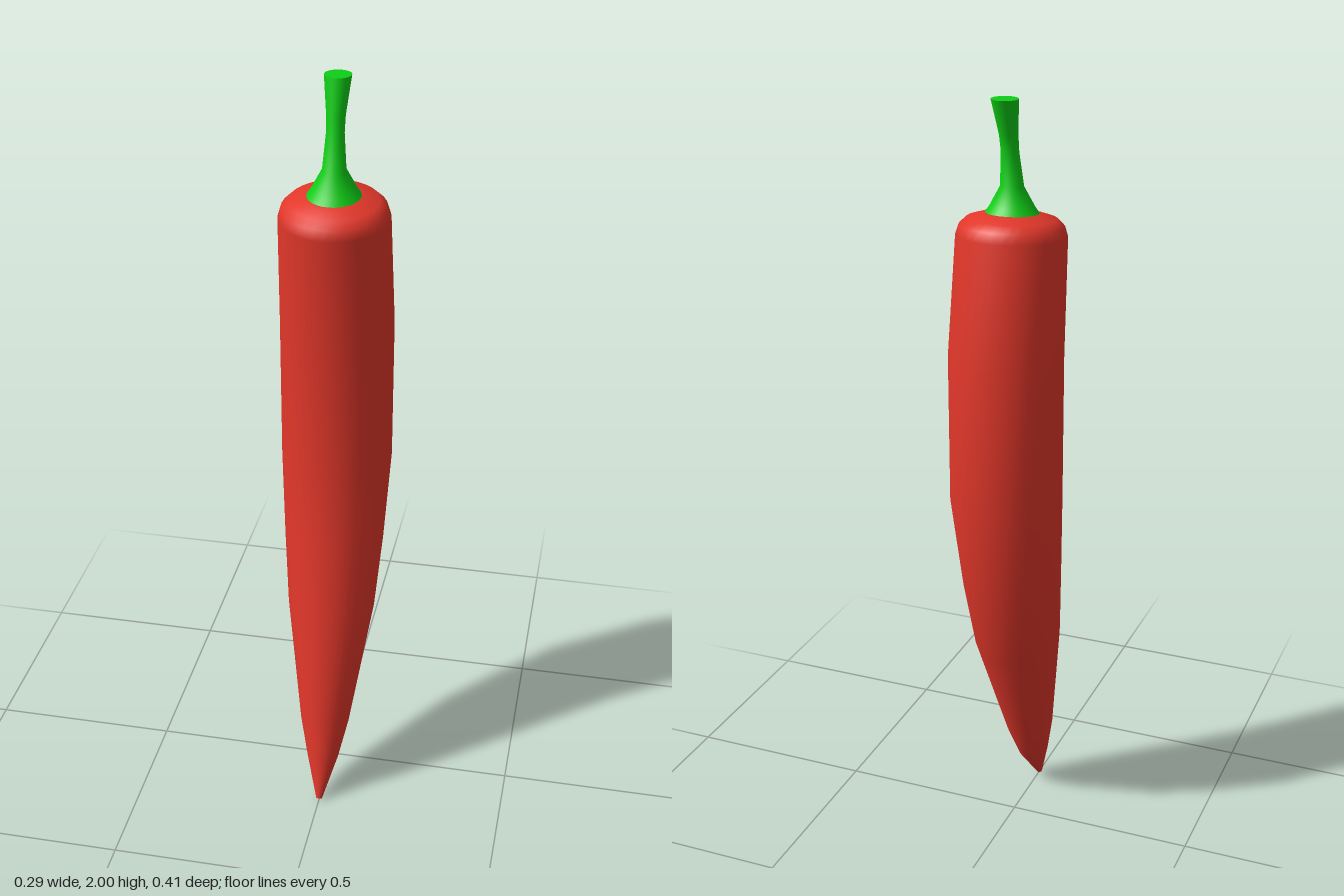
import * as THREE from 'three';

const SIDES = 32;

// Skin over round cross-sections, listed bottom to top as [y, z, radius, tilt].
// A positive tilt raises the front (+z) side of the section.
function loft(name, sections, color) {
  const pos = [], index = [];
  const addRing = ([y, z, r, t]) => {
    const start = pos.length / 3;
    for (let j = 0; j < SIDES; j++) {
      const a = (j / SIDES) * Math.PI * 2;
      pos.push(r * Math.cos(a), y + r * Math.sin(a) * Math.sin(t), z + r * Math.sin(a) * Math.cos(t));
    }
    return start;
  };

  // Side wall, smooth all the way round
  const starts = sections.map(addRing);
  for (let i = 0; i < starts.length - 1; i++) {
    for (let j = 0; j < SIDES; j++) {
      const k = (j + 1) % SIDES;
      const a = starts[i] + j, b = starts[i] + k, c = starts[i + 1] + j, d = starts[i + 1] + k;
      index.push(a, c, b, b, c, d);
    }
  }

  // End caps use their own rings so their rims stay sharp
  for (const top of [false, true]) {
    const s = sections[top ? sections.length - 1 : 0];
    const ring = addRing(s), centre = pos.length / 3;
    pos.push(0, s[0], s[1]);
    for (let j = 0; j < SIDES; j++) {
      const a = ring + j, b = ring + ((j + 1) % SIDES);
      if (top) index.push(centre, b, a);
      else index.push(centre, a, b);
    }
  }

  const geometry = new THREE.BufferGeometry();
  geometry.setAttribute('position', new THREE.Float32BufferAttribute(pos, 3));
  geometry.setIndex(index);
  geometry.computeVertexNormals();
  const mesh = new THREE.Mesh(geometry, new THREE.MeshStandardMaterial({ color }));
  mesh.name = name;
  return mesh;
}

export function createModel() {
  const model = new THREE.Group();
  model.name = 'chiliPepper';

  // Curved red pod, from the pointed tip to the rounded shoulder
  model.add(loft('pod', [
    [0.005, 0.198, 0.008, 0.6],
    [0.12, 0.145, 0.043, 0.55],
    [0.225, 0.114, 0.066, 0.46],
    [0.555, 0.02, 0.116, 0.33],
    [0.75, -0.02, 0.131, 0.28],
    [0.985, -0.057, 0.144, 0.06],
    [1.365, -0.057, 0.144, -0.06],
    [1.665, -0.019, 0.137, -0.08],
    [1.69, -0.017, 0.129, -0.08],
    [1.707, -0.016, 0.111, -0.08],
    [1.72, -0.015, 0.068, -0.08],
  ], 0xe2372a));

  // Green stem, flared where it meets the pod and leaning back
  model.add(loft('stem', [
    [1.715, -0.015, 0.07, -0.08],
    [1.735, -0.015, 0.056, -0.08],
    [1.785, -0.016, 0.029, -0.1],
    [1.87, -0.029, 0.022, -0.12],
    [1.91, -0.037, 0.023, -0.1],
    [2.0, -0.062, 0.033, 0],
  ], 0x0fcf16));

  return model;
}
